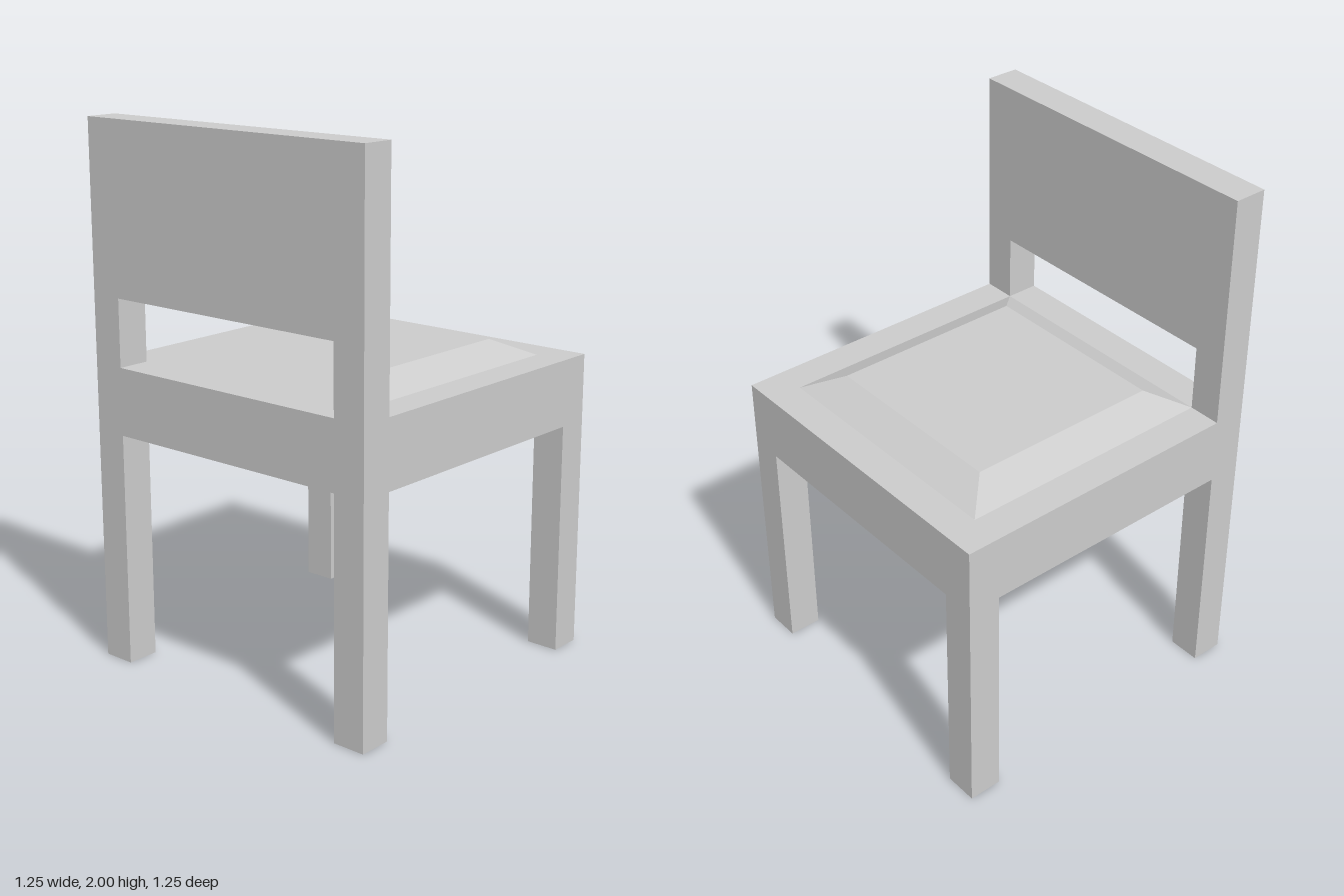
import * as THREE from 'three';

export function createModel() {
  const chair = new THREE.Group();
  chair.name = 'chair';
  const material = new THREE.MeshStandardMaterial({ color: 0xcccccc, flatShading: true });

  const half = 0.625;      // half of the seat's width and depth
  const post = 0.125;      // thickness of legs and backrest
  const inner = half - post;
  const seatBottom = 0.875, seatTop = 1.125;
  const gapTop = 1.375, top = 2;

  const add = (name, geometry, x, y, z) => {
    const mesh = new THREE.Mesh(geometry, material);
    mesh.name = name;
    mesh.position.set(x, y, z);
    chair.add(mesh);
  };

  // Four square legs; the front of the chair faces +x, the backrest is at -x
  for (const sx of [-1, 1]) {
    for (const sz of [-1, 1]) {
      add(
        sx > 0 ? 'frontLeg' : 'backLeg',
        new THREE.BoxGeometry(post, seatBottom, post),
        sx * (half - post / 2), seatBottom / 2, sz * (half - post / 2)
      );
    }
  }

  // Solid seat block
  add('seat', new THREE.BoxGeometry(2 * half, seatTop - seatBottom, 2 * half),
    0, (seatBottom + seatTop) / 2, 0);

  // Cushion: a low square frustum with sloping sides
  const cushionHeight = 0.0625;
  const cushion = new THREE.CylinderGeometry(
    0.375 * Math.SQRT2, inner * Math.SQRT2, cushionHeight, 4
  ).rotateY(Math.PI / 4);
  add('cushion', cushion, 0, seatTop + cushionHeight / 2, 0);

  // Backrest: panel and two posts in one outline, open above the seat
  const outline = new THREE.Shape([
    [-half, seatTop], [-inner, seatTop], [-inner, gapTop], [inner, gapTop],
    [inner, seatTop], [half, seatTop], [half, top], [-half, top],
  ].map(([z, y]) => new THREE.Vector2(z, y)));
  const backrest = new THREE.ExtrudeGeometry(outline, { depth: post, bevelEnabled: false })
    .rotateY(Math.PI / 2);
  add('backrest', backrest, -half, 0, 0);

  return chair;
}
